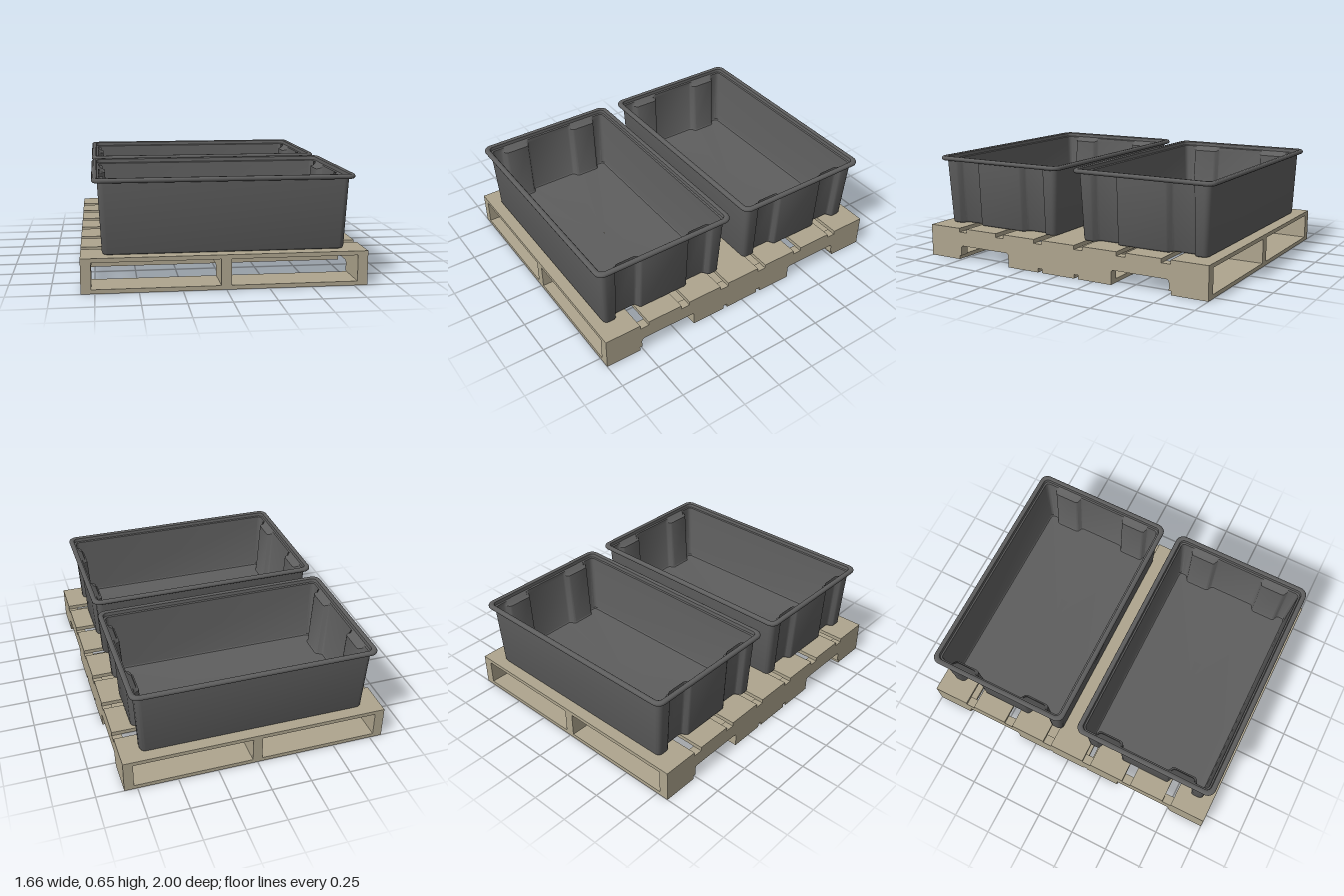
import * as THREE from 'three';
import { toCreasedNormals } from 'three/addons/utils/BufferGeometryUtils.js';

const wood = new THREE.MeshStandardMaterial({ color: 0xaea58e });
const plastic = new THREE.MeshStandardMaterial({ color: 0x5e5e5e });

function add(parent, name, geometry, material) {
  const mesh = new THREE.Mesh(geometry, material);
  mesh.name = name;
  parent.add(mesh);
  return mesh;
}

// Boards laid across the stringers, given as [z start, z end]
function boards(parent, name, spans, y) {
  for (const [a, b] of spans) {
    add(parent, name, new THREE.BoxGeometry(1.66, 0.025, b - a), wood)
      .position.set(0, y, (a + b) / 2);
  }
}

// Stringer side profile with two rounded fork notches
function stringerGeometry() {
  const s = new THREE.Shape();
  const bottom = 0.025, notch = 0.09, r = 0.02;
  s.moveTo(-1, bottom);
  for (const [a, b] of [[-0.755, -0.375], [0.375, 0.755]]) {
    s.lineTo(a, bottom);
    s.lineTo(a, notch - r);
    s.quadraticCurveTo(a, notch, a + r, notch);
    s.lineTo(b - r, notch);
    s.quadraticCurveTo(b, notch, b, notch - r);
    s.lineTo(b, bottom);
  }
  s.lineTo(1, bottom);
  s.lineTo(1, 0.18);
  s.lineTo(-1, 0.18);
  const g = new THREE.ExtrudeGeometry(s, { depth: 0.06, bevelEnabled: false, curveSegments: 5 });
  return g.rotateY(-Math.PI / 2).translate(0.03, 0, 0);
}

// Rounded rectangle with two vertical grooves in each end wall
function outline(hx, hz, r, depth, w) {
  const half = [];
  const step = [[-w - 0.012, 0], [-w, 0.15], [-w + 0.014, 0.85], [-w + 0.026, 1]];
  const groove = [...step, ...step.map(([z, d]) => [-z, d]).reverse()];
  for (const centre of [-0.2525, 0.2525]) {
    for (const [z, d] of groove) half.push([hx - d * depth, (centre + z) * Math.min(1, hz / 0.4)]);
  }
  for (const [cx, cz, start] of [[hx - r, hz - r, 0], [r - hx, hz - r, Math.PI / 2]]) {
    for (let i = 0; i <= 6; i++) {
      const a = start + (i / 6) * Math.PI / 2;
      half.push([cx + r * Math.cos(a), cz + r * Math.sin(a)]);
    }
  }
  return [...half, ...half.map(([x, z]) => [-x, -z])];
}

// Open bin skinned through outlines: under the base, up the outside, over the rim, down the inside
function binGeometry() {
  // y, half x, half z, corner radius, groove depth, groove half width
  const levels = [
    [0.205, 0.001, 0.001, 0.0005, 0, 0.085],
    [0.205, 0.62, 0.35, 0.03, 0, 0.085],
    [0.205, 0.692, 0.404, 0.025, 0.04, 0.085],
    [0.209, 0.701, 0.413, 0.03, 0.04, 0.085],
    [0.218, 0.706, 0.417, 0.032, 0.04, 0.085],
    [0.624, 0.726, 0.434, 0.035, 0.035, 0.085],
    [0.624, 0.75, 0.459, 0.045, 0, 0.085],
    [0.629, 0.756, 0.465, 0.05, 0, 0.085],
    [0.638, 0.758, 0.467, 0.052, 0, 0.085],
    [0.646, 0.755, 0.464, 0.05, 0, 0.085],
    [0.651, 0.748, 0.457, 0.045, 0, 0.085],
    [0.651, 0.734, 0.443, 0.035, 0, 0.085],
    [0.646, 0.727, 0.436, 0.032, 0, 0.085],
    [0.625, 0.724, 0.432, 0.03, 0, 0.085],
    [0.621, 0.714, 0.422, 0.025, 0, 0.095],
    [0.605, 0.713, 0.421, 0.025, 0.012, 0.095],
    [0.596, 0.712, 0.42, 0.025, 0.036, 0.095],
    [0.228, 0.694, 0.405, 0.022, 0.04, 0.095],
    [0.221, 0.688, 0.399, 0.02, 0.04, 0.095],
    [0.22, 0.62, 0.35, 0.02, 0, 0.095],
    [0.22, 0.001, 0.001, 0.0005, 0, 0.095],
  ];
  const positions = [], index = [];
  let n = 0;
  for (const [y, ...rest] of levels) {
    const ring = outline(...rest);
    n = ring.length;
    for (const [x, z] of ring) positions.push(x, y, z);
  }
  for (let k = 0; k < levels.length - 1; k++) {
    for (let j = 0; j < n; j++) {
      const a = k * n + j, b = k * n + (j + 1) % n;
      index.push(a, a + n, b, b, a + n, b + n);
    }
  }
  const g = new THREE.BufferGeometry();
  g.setAttribute('position', new THREE.Float32BufferAttribute(positions, 3));
  g.setIndex(index);
  return toCreasedNormals(g, 0.7);
}

export function createModel() {
  const model = new THREE.Group();
  model.name = 'palletWithBins';

  // Pallet
  const pallet = new THREE.Group();
  pallet.name = 'pallet';
  model.add(pallet);
  const stringer = stringerGeometry();
  for (const x of [-0.8, 0, 0.8]) add(pallet, 'stringer', stringer, wood).position.x = x;

  const top = [];
  for (let i = 0; i < 7; i++) {
    const z = -0.8825 + i * 0.2942;
    top.push([z - 0.1175, z + 0.1175]);
  }
  boards(pallet, 'topBoard', top, 0.1925);
  boards(pallet, 'bottomBoard',
    [[-1, -0.77], [-0.375, -0.145], [-0.116, 0.118], [0.147, 0.375], [0.77, 1]], 0.0125);

  // Bins
  const bin = binGeometry();
  for (const [name, z] of [['frontBin', 0.516], ['backBin', -0.516]]) {
    add(model, name, bin, plastic).position.z = z;
  }
  return model;
}
